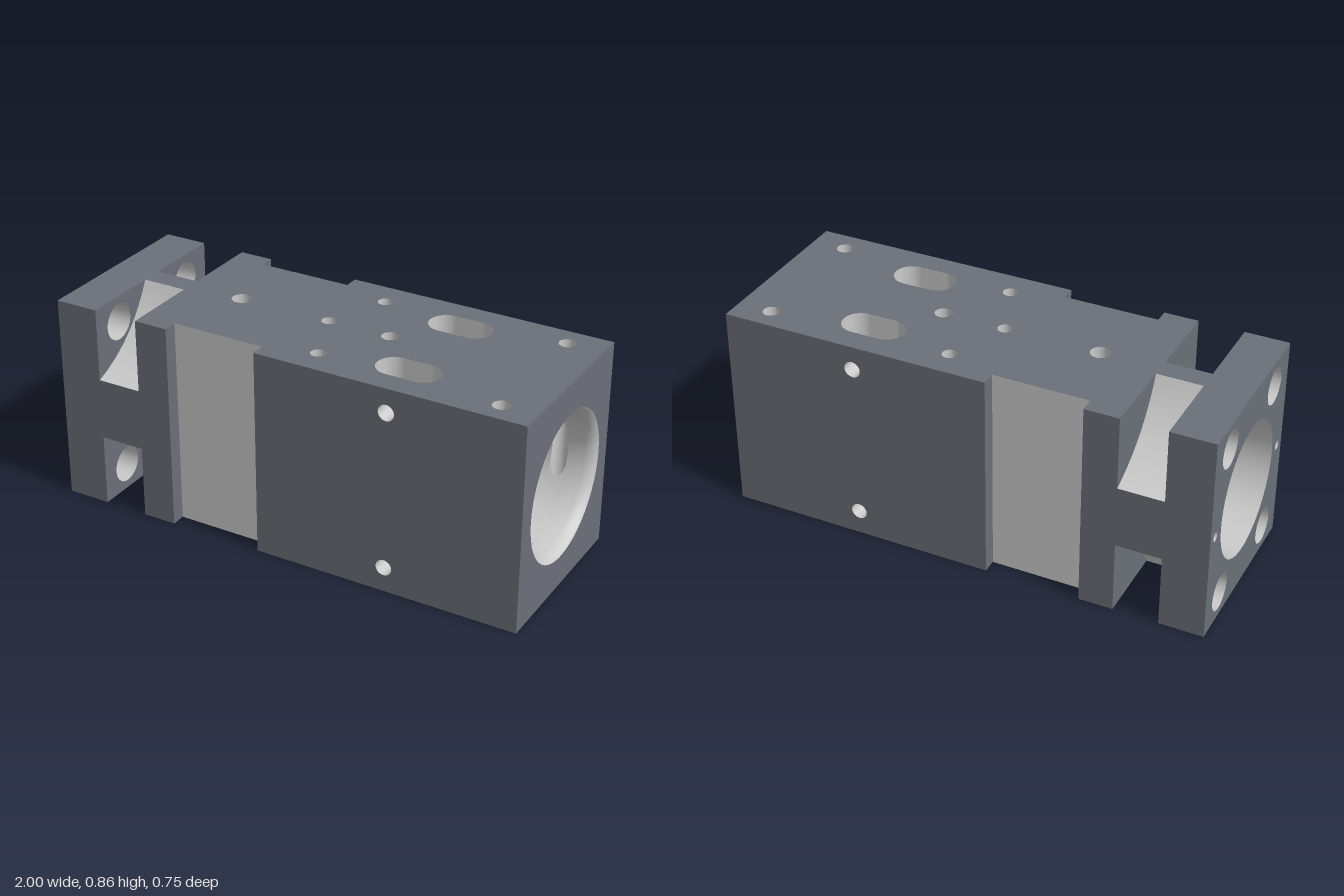
import * as THREE from 'three';
import { toCreasedNormals } from 'three/addons/utils/BufferGeometryUtils.js';

const H = 0.855, CY = H / 2, D = 0.375;          // block height, bore axis, half depth
const N0 = -0.82, N1 = -0.635;                   // bolt notch range along x
const R0 = -0.495, R1 = -0.105, RZ = 0.315;      // side recess range and depth
const BOLT = { z: 0.23, y: 0.32, r: 0.075 };     // flange bolt, measured from the axis

const painted = new THREE.MeshStandardMaterial({ color: 0x6b6f78, side: THREE.DoubleSide });
const machined = new THREE.MeshStandardMaterial({ color: 0xcccccc, side: THREE.DoubleSide });

// Vertical openings that run through the block: centre, half length, half width, bore radius there
const openings = [
  { name: 'endHole', x: 0.855, z: 0.28, hl: 0.034, hw: 0.034, R: 0.275 },
  { name: 'slot', x: 0.45, z: 0.205, hl: 0.13, hw: 0.0725, R: 0.25 },
  { name: 'middleHole', x: 0.1, z: 0.255, hl: 0.03, hw: 0.03, R: 0.25 },
];
const blindHoles = [[-0.395, 0.04, 0.016], [-0.003, 0.03, 0], [0.26, 0.034, 0.016]];

function createModel() {
  const model = new THREE.Group();
  const add = (name, geo, mat) => {
    const m = new THREE.Mesh(geo, mat);
    m.name = name;
    model.add(m);
    return m;
  };

  const poly = pts => new THREE.Shape(pts.map(p => new THREE.Vector2(p[0], p[1])));
  const rect = (a0, b0, a1, b1) => poly([[a0, b0], [a1, b0], [a1, b1], [a0, b1]]);
  const circle = (a, b, r) => new THREE.Path().absarc(a, b, r, 0, Math.PI * 2);
  const stadium = (o, s) => {
    const p = new THREE.Path(), c = o.hl - o.hw;
    p.absarc(o.x + c, s * o.z, o.hw, -Math.PI / 2, Math.PI / 2);
    p.absarc(o.x - c, s * o.z, o.hw, Math.PI / 2, Math.PI * 1.5);
    p.closePath();
    return p;
  };

  // Flat face across an axis: x takes (z, y), y takes (x, z), z takes (x, y)
  const panel = (name, axis, pos, out, shape, mat = painted) => {
    const geo = new THREE.ShapeGeometry(shape, 24), p = geo.attributes.position;
    for (let i = 0; i < p.count; i++) {
      const a = p.getX(i), b = p.getY(i);
      if (axis === 'x') p.setXYZ(i, pos, b, a);
      else if (axis === 'y') p.setXYZ(i, a, pos, b);
      else p.setXYZ(i, a, b, pos);
    }
    if ((axis === 'z' ? 1 : -1) !== out) geo.index.array.reverse();
    geo.computeVertexNormals();
    add(name, geo, mat);
  };

  // Curved sheet: f(u, v) gives [x, y, z]
  const sheet = (name, nu, nv, f, mat = machined) => {
    const geo = new THREE.PlaneGeometry(1, 1, nu, nv);
    const p = geo.attributes.position, uv = geo.attributes.uv;
    for (let i = 0; i < p.count; i++) p.setXYZ(i, ...f(uv.getX(i), uv.getY(i)));
    geo.computeVertexNormals();
    add(name, geo, mat);
  };

  // Open tube of a drilled hole along one axis
  const drill = (name, axis, a, b, r, from, to) => {
    const geo = new THREE.CylinderGeometry(r, r, to - from, 28, 1, true);
    const mid = (from + to) / 2;
    if (axis === 'x') geo.rotateZ(Math.PI / 2).translate(mid, b, a);
    else if (axis === 'y') geo.translate(a, mid, b);
    else geo.rotateX(Math.PI / 2).translate(a, b, mid);
    add(name, geo, machined);
  };

  // Top and bottom faces
  for (const top of [true, false]) {
    const half = [[-1, D], [N0, D], [N0, 0.045], [N1, 0.045], [N1, D], [R0, D], [R0, RZ], [R1, RZ], [R1, D], [1, D]];
    const s = poly([...half, ...half.map(([x, z]) => [x, -z]).reverse()]);
    for (const o of openings) s.holes.push(stadium(o, 1), stadium(o, -1));
    if (top) for (const [x, r] of blindHoles) s.holes.push(circle(x, 0, r));
    panel(top ? 'topFace' : 'bottomFace', 'y', top ? H : 0, top ? 1 : -1, s);
  }

  // Blind holes in the top, some with a smaller pilot hole
  for (const [x, r, pilot] of blindHoles) {
    const floor = new THREE.Shape().absarc(x, 0, r, 0, Math.PI * 2);
    if (pilot) {
      floor.holes.push(circle(x, 0, pilot));
      drill('pilotHole', 'y', x, 0, pilot, H - 0.15, H - 0.08);
    }
    panel('blindHoleFloor', 'y', H - 0.08, 1, floor, machined);
    drill('blindHole', 'y', x, 0, r, H - 0.08, H);
  }

  // Front and back faces, with the shallow recess and cross holes
  for (const s of [1, -1]) {
    const body = rect(R1, 0, 1, H);
    for (const y of [0.103, H - 0.098]) {
      body.holes.push(circle(0.45, y, 0.033));
      drill('crossHole', 'z', 0.45, y, 0.033, s > 0 ? 0.2775 : -D, s > 0 ? D : -0.2775);
      if (s > 0) drill('crossHole', 'z', 0.45, y, 0.033, -0.1325, 0.1325);
    }
    panel('sideFace', 'z', s * D, s, body);
    panel('flangeSide', 'z', s * D, s, poly([
      [-1, 0], [N0, 0], [N0, 0.3], [N1, 0.3], [N1, 0], [R0, 0],
      [R0, H], [N1, H], [N1, H - 0.3], [N0, H - 0.3], [N0, H], [-1, H]]));
    panel('sideRecess', 'z', s * RZ, s, rect(R0, 0, R1, H), machined);
    panel('recessStep', 'x', R0, 1, rect(s * RZ, 0, s * D, H));
    panel('recessStep', 'x', R1, -1, rect(s * RZ, 0, s * D, H));
  }

  // End faces
  const rightEnd = rect(-D, 0, D, H), leftEnd = rect(-D, 0, D, H);
  rightEnd.holes.push(circle(0, CY, 0.3));
  leftEnd.holes.push(circle(0, CY, 0.27));
  for (const s of [1, -1]) {
    leftEnd.holes.push(circle(s * 0.326, CY, 0.02));
    drill('pinHole', 'x', s * 0.326, CY, 0.02, -1, -0.9);
    panel('pinHoleFloor', 'x', -0.9, -1, new THREE.Shape().absarc(s * 0.326, CY, 0.02, 0, Math.PI * 2), machined);
  }

  // Four bolt notches with a hollow curved floor, and bolt holes through the flange
  for (const sz of [1, -1]) for (const sy of [1, -1]) {
    const z = sz * BOLT.z, y = CY + sy * BOLT.y;
    const corner = () => new THREE.Shape()
      .moveTo(sz * 0.045, CY + sy * CY)
      .quadraticCurveTo(sz * 0.148, CY + sy * 0.208, sz * D, CY + sy * 0.1275)
      .lineTo(sz * D, CY + sy * CY);
    const flangeWall = corner();
    flangeWall.holes.push(circle(z, y, BOLT.r));
    panel('notchFlangeWall', 'x', N0, 1, flangeWall);
    panel('notchBodyWall', 'x', N1, -1, corner());
    const curve = flangeWall.curves[0];
    sheet('notchFloor', 20, 1, (u, v) => {
      const p = curve.getPoint(u);
      return [N0 + (N1 - N0) * v, p.y, p.x];
    });
    leftEnd.holes.push(circle(z, y, BOLT.r));
    drill('boltHole', 'x', z, y, BOLT.r, -1, N0);
  }
  panel('rightEnd', 'x', 1, 1, rightEnd);
  panel('leftEnd', 'x', -1, -1, leftEnd);

  // Stepped bore, turned in sections between the openings: [x, radius]
  const boreSections = [
    [[1, 0.3], [0.99, 0.288], [0.975, 0.279], [0.955, 0.275], [0.889, 0.275]],
    [[0.821, 0.275], [0.75, 0.275], [0.735, 0.256], [0.728, 0.25], [0.58, 0.25]],
    [[0.32, 0.25], [0.13, 0.25]],
    [[0.07, 0.25], [0, 0.25], [0, 0.195], [-0.006, 0.19], [-0.3, 0.19], [-0.3, 0.27], [-1, 0.27]],
  ];
  for (const pts of boreSections) {
    const geo = new THREE.LatheGeometry(pts.map(([x, r]) => new THREE.Vector2(r, x)), 72);
    geo.rotateZ(-Math.PI / 2).translate(0, CY, 0);
    add('bore', toCreasedNormals(geo, 0.5), machined);
  }

  for (const o of openings) {
    const xAt = u => o.x - o.hl * Math.cos(Math.PI * u);
    const halfWidth = x => {
      const e = Math.max(0, Math.abs(x - o.x) - (o.hl - o.hw));
      return Math.sqrt(Math.max(0, o.hw * o.hw - e * e));
    };
    const angle = z => Math.asin(Math.min(1, z / o.R));
    const onBore = (x, t, s) => [x, CY + s * o.R * Math.cos(t), o.R * Math.sin(t)];
    for (const s of [1, -1]) {
      // Bore wall left between the two openings, and beside them
      sheet('boreWall', 24, 24, (u, v) => {
        const x = xAt(u), t = angle(o.z - halfWidth(x));
        return onBore(x, t * (2 * v - 1), s);
      });
      sheet('boreSideWall', 24, 24, (u, v) => {
        const x = xAt(u), t = angle(o.z + halfWidth(x));
        return onBore(x, s * (t + (Math.PI - 2 * t) * v), 1);
      });
      // Opening walls run from the outer face to the bore
      const rim = stadium(o, s).getPoints(20);
      for (const sy of [1, -1]) sheet(o.name + 'Wall', rim.length - 1, 1, (u, v) => {
        const p = rim[Math.round(u * (rim.length - 1))];
        const inner = Math.sqrt(Math.max(0, o.R * o.R - p.y * p.y));
        return [p.x, CY + sy * (v ? CY : inner), p.y];
      });
    }
  }
  return model;
}

export { createModel };
